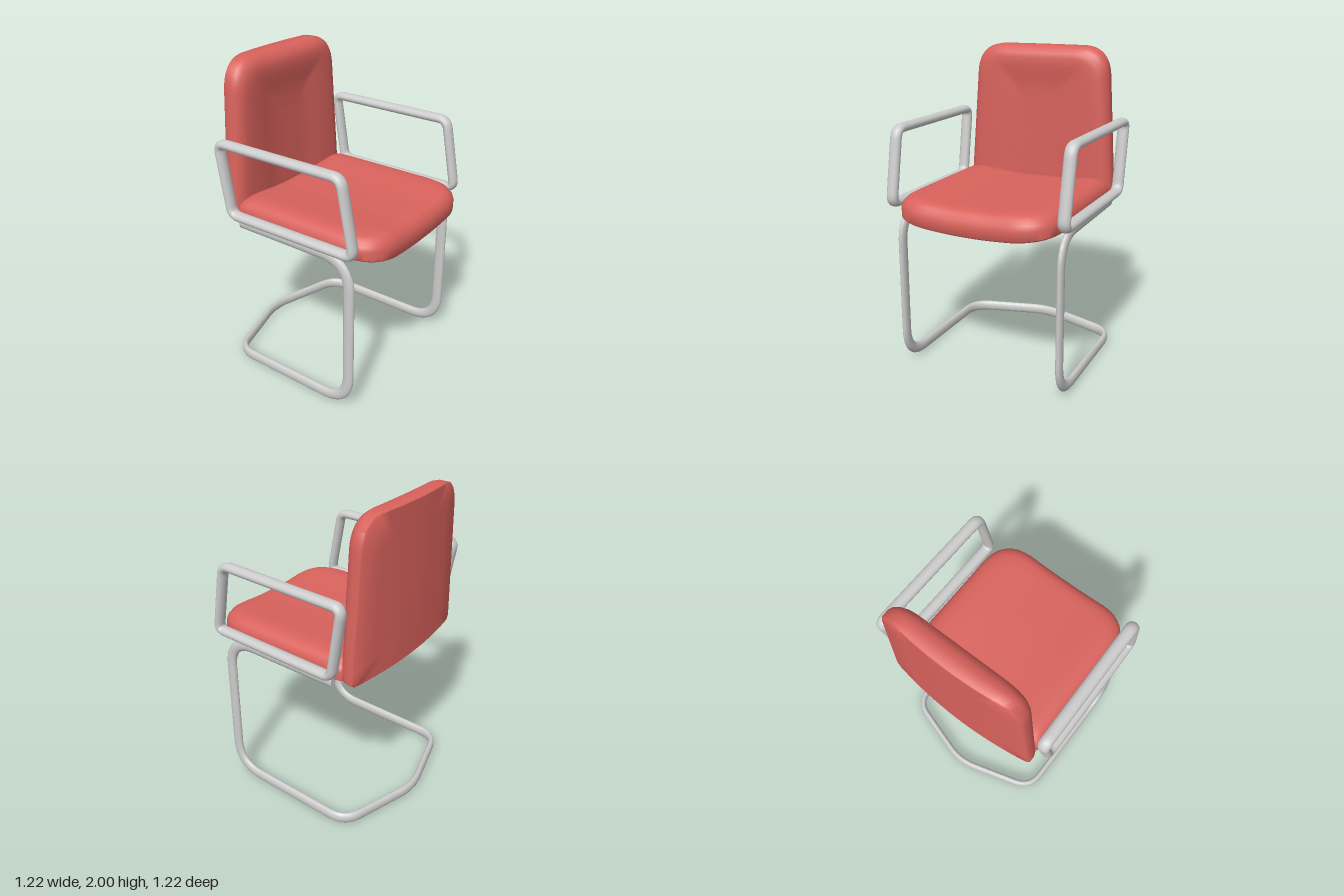
import * as THREE from 'three';
import { toCreasedNormals } from 'three/addons/utils/BufferGeometryUtils.js';

const V = (x, y, z = 0) => new THREE.Vector3(x, y, z);
const smooth = THREE.MathUtils.smoothstep;
const lerp = THREE.MathUtils.lerp;

// Polyline with rounded corners; corners are [point, radius]
function roundedPath(corners, closed) {
  const path = new THREE.CurvePath();
  const n = corners.length;
  const toward = (a, b, d) => b.clone().sub(a).setLength(d).add(a);
  const start = closed ? corners[n - 1][0].clone().lerp(corners[0][0], 0.5) : corners[0][0];
  let from = start;
  for (let i = closed ? 0 : 1; i < (closed ? n : n - 1); i++) {
    const [p, r] = corners[i];
    const a = toward(p, corners[(i + n - 1) % n][0], r);
    const b = toward(p, corners[(i + 1) % n][0], r);
    path.add(new THREE.LineCurve3(from, a));
    path.add(new THREE.QuadraticBezierCurve3(a, p, b));
    from = b;
  }
  path.add(new THREE.LineCurve3(from, closed ? start : corners[n - 1][0]));
  return path;
}

// Skin over a list of equal rings, with optional end caps
function skin(rings, capped) {
  const m = rings[0].length;
  const pts = rings.flat();
  const index = [];
  for (let i = 0; i < rings.length - 1; i++) {
    for (let j = 0; j < m; j++) {
      const k = (j + 1) % m;
      const a = i * m + j, b = i * m + k, c = b + m, d = a + m;
      index.push(a, b, c, a, c, d);
    }
  }
  if (capped) {
    for (const end of [0, rings.length - 1]) {
      const centre = rings[end].reduce((s, p) => s.add(p), V(0, 0)).divideScalar(m);
      const c = pts.push(centre) - 1;
      for (let j = 0; j < m; j++) {
        const a = end * m + j, b = end * m + (j + 1) % m;
        if (end === 0) index.push(c, b, a);
        else index.push(c, a, b);
      }
    }
  }
  const geo = new THREE.BufferGeometry().setFromPoints(pts);
  geo.setIndex(index);
  return toCreasedNormals(geo, 0.8);
}

// Oval tube: half-size a along the given axis, b across it
function ovalTube(path, steps, axisAt, a, b, capped) {
  const rings = [];
  for (let i = 0; i <= steps; i++) {
    const p = path.getPoint(i / steps), t = path.getTangent(i / steps);
    const A = axisAt(p, t), B = t.clone().cross(A).normalize();
    rings.push(Array.from({ length: 16 }, (_, j) => {
      const q = j / 16 * Math.PI * 2;
      return p.clone().addScaledVector(A, a * Math.cos(q)).addScaledVector(B, b * Math.sin(q));
    }));
  }
  return skin(rings, capped);
}

// Cushion: outline scaled ring by ring [scale, level]; place maps (u, v, level) to space
function cushion(corners, centre, place) {
  const path = roundedPath(corners, true);
  const profile = [[0.02, 0], [0.35, 0], [0.7, 0], [0.985, 0], [1, 0.06], [1, 0.45], [0.985, 0.65],
    [0.95, 0.83], [0.9, 0.95], [0.84, 1], [0.74, 1], [0.64, 1], [0.54, 1], [0.4, 1], [0.2, 1], [0.02, 1]];
  const n = 120;
  return skin(profile.map(([s, level]) => Array.from({ length: n }, (_, j) => {
    const p = path.getPoint(j / n).sub(centre).multiplyScalar(s).add(centre);
    return place(p.x, p.y, level);
  })), true);
}

export function createModel() {
  const group = new THREE.Group();
  const metal = new THREE.MeshStandardMaterial({ color: 0xcccccc });
  const fabric = new THREE.MeshStandardMaterial({ color: 0xd9625c });
  const add = (name, geo, mat) => {
    const mesh = new THREE.Mesh(geo, mat);
    mesh.name = name;
    group.add(mesh);
  };

  // Seat: outline in (z, x), dished across its width
  add('seat', cushion(
    [[V(-0.52, -0.43), 0.08], [V(0.52, -0.43), 0.08], [V(0.515, 0.61), 0.24], [V(-0.515, 0.61), 0.24]],
    V(0, 0.09),
    (z, x, level) => {
      const k = Math.min(1, (z / 0.5) ** 2);
      const low = 1.0 + 0.04 * k;
      const high = 1.15 + 0.02 * smooth(Math.abs(z), 0.1, 0.42);
      return V(x, lerp(low, high, level), z);
    }), fabric);

  // Backrest: outline in (y, z), convex behind, with a recessed front panel
  add('backrest', cushion(
    [[V(1.03, -0.525), 0.04], [V(2.0, -0.452), 0.18], [V(2.0, 0.452), 0.18], [V(1.03, 0.525), 0.04]],
    V(1.5, 0),
    (y, z, level) => {
      const rear = -0.535 + 0.045 * (z / 0.5) ** 2;
      const rim = Math.max(smooth(Math.abs(z), 0.12, 0.32), smooth(y, 1.7, 1.9));
      return V(lerp(rear, -0.402 + 0.024 * rim, level), y, z);
    }), fabric);

  // Cantilever frame: one bent flat-oval tube, mirrored across z
  const half = [
    [V(-0.36, 1.033, 0.53), 0], [V(0.45, 1.033, 0.53), 0.2], [V(0.452, 0.042, 0.535), 0.2],
    [V(-0.45, 0.036, 0.535), 0.12],
  ];
  const mirrored = half.map(([p, r]) => [V(p.x, p.y, -p.z), r]).reverse();
  const framePath = roundedPath([...half, [V(-0.61, 0.036, 0), 0.12], ...mirrored], false);
  const frameAxis = (p, t) => (p.x < 0 && p.y < 0.2)
    ? t.clone().cross(V(0, 1, 0)).normalize()
    : V(0, 0, -Math.sign(p.z));
  add('cantileverFrame', ovalTube(framePath, 300, frameAxis, 0.021, 0.036, true), metal);

  // Armrests: closed slanted loops, toed in slightly toward the front
  for (const side of [1, -1]) {
    const loop = [[-0.455, 1.542], [0.418, 1.542], [0.503, 1.096], [-0.383, 1.096]]
      .map(([x, y]) => [V(x, y, side * (0.568 - 0.014 * x)), 0.055]);
    const geo = ovalTube(roundedPath(loop, true), 180, () => V(0, 0, 1), 0.038, 0.028, false);
    add(side > 0 ? 'leftArmrest' : 'rightArmrest', geo, metal);
  }
  return group;
}
